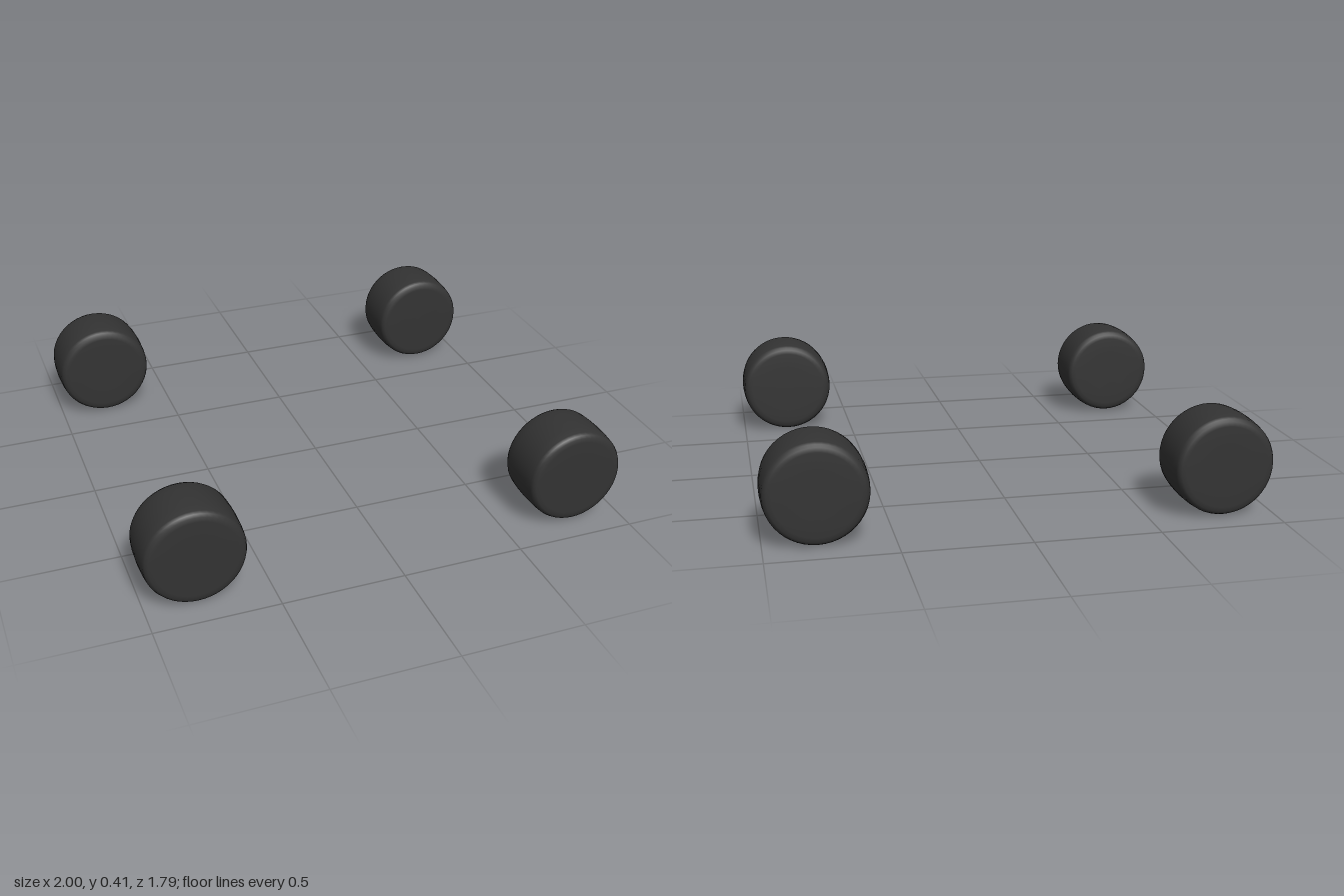
import * as THREE from 'three';

const RADIUS = 0.206;
const HALF_WIDTH = 0.121;

// Wheel: flat discs, rounded shoulders and a slightly crowned tread
function wheelGeometry() {
  const half = [
    [0, HALF_WIDTH], [0.1, HALF_WIDTH], [0.165, 0.1205], [0.183, 0.118],
    [0.194, 0.111], [0.2, 0.098], [0.204, 0.06],
  ];
  const profile = [
    ...half.map(([r, w]) => new THREE.Vector2(r, -w)),
    new THREE.Vector2(RADIUS, 0),
    ...half.slice().reverse().map(([r, w]) => new THREE.Vector2(r, w)),
  ];
  // Lay the axle along z
  return new THREE.LatheGeometry(profile, 48).rotateX(Math.PI / 2);
}

export function createModel() {
  const model = new THREE.Group();
  model.name = 'wheelSet';
  const rubber = new THREE.MeshStandardMaterial({ color: 0x333333 });
  const geometry = wheelGeometry();

  // Four matching wheels, one at each corner
  for (const [end, z] of [['front', 0.776], ['back', -0.776]]) {
    for (const [side, x] of [['Left', 0.794], ['Right', -0.794]]) {
      const wheel = new THREE.Mesh(geometry, rubber);
      wheel.name = `${end}${side}Wheel`;
      wheel.position.set(x, RADIUS, z);
      model.add(wheel);
    }
  }
  return model;
}
